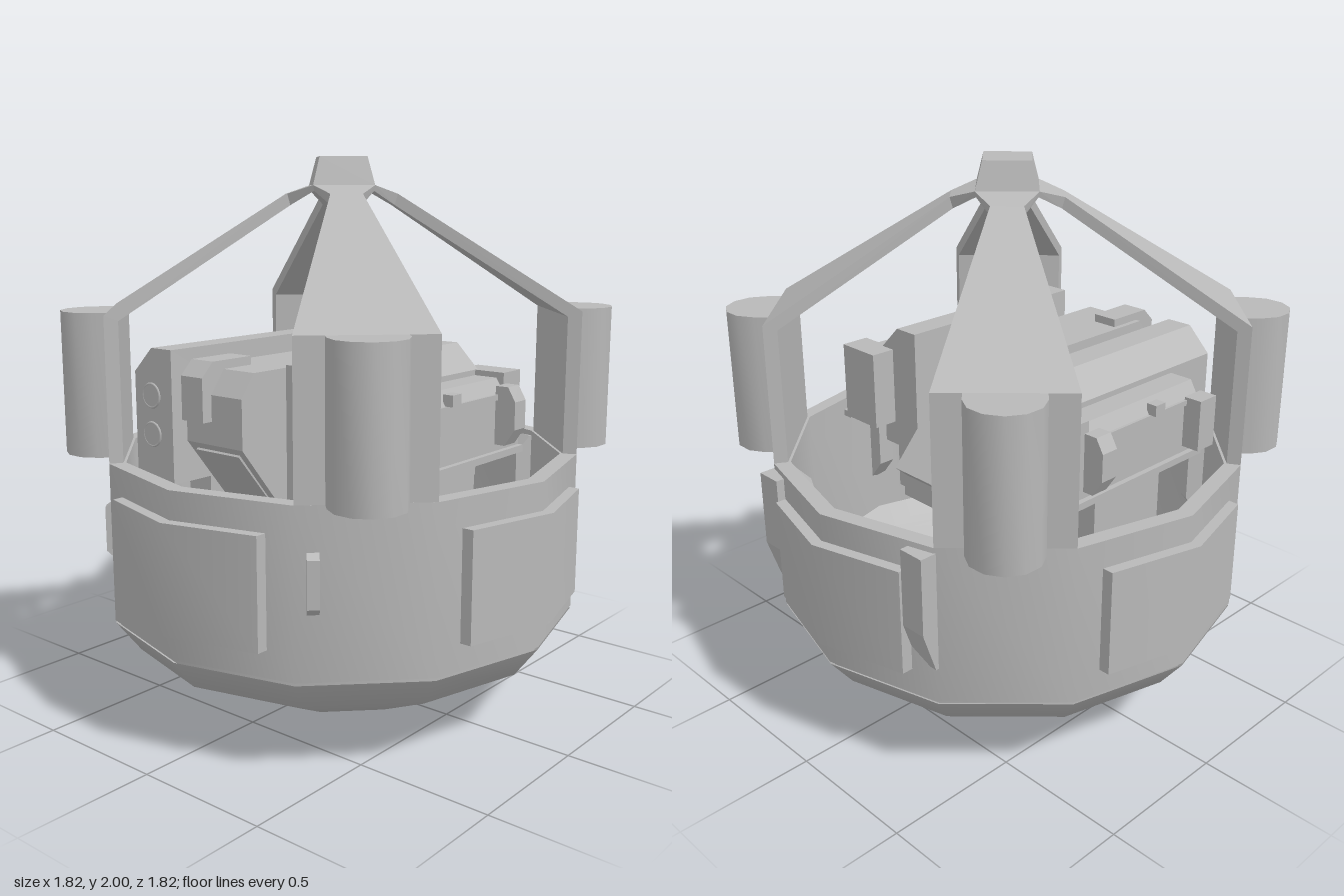
import * as THREE from 'three';
import { toCreasedNormals } from 'three/addons/utils/BufferGeometryUtils.js';
import { ConvexGeometry } from 'three/addons/geometries/ConvexGeometry.js';

const grey = new THREE.MeshStandardMaterial({ color: 0xb8b8b8, side: THREE.DoubleSide });
grey.name = 'hull grey';

const V = (x, y, z) => new THREE.Vector3(x, y, z);

function add(parent, name, geometry, x = 0, y = 0, z = 0) {
  const mesh = new THREE.Mesh(geometry, grey);
  mesh.name = name;
  mesh.position.set(x, y, z);
  parent.add(mesh);
  return mesh;
}

// Box given by its minimum and maximum corners
function box(parent, name, x0, x1, y0, y1, z0, z1) {
  return add(parent, name, new THREE.BoxGeometry(x1 - x0, y1 - y0, z1 - z0),
    (x0 + x1) / 2, (y0 + y1) / 2, (z0 + z1) / 2);
}

// Upright prism over a floor outline of [x, z] points
function prism(points, y0, y1) {
  const shape = new THREE.Shape(points.map(([x, z]) => new THREE.Vector2(x, -z)));
  const g = new THREE.ExtrudeGeometry(shape, { depth: y1 - y0, bevelEnabled: false });
  return toCreasedNormals(g.rotateX(-Math.PI / 2).translate(0, y0, 0), 0.7);
}

// Sideways prism over a [z, y] profile, running from x0 to x1
function sidePrism(points, x0, x1) {
  const shape = new THREE.Shape(points.map(([z, y]) => new THREE.Vector2(-z, y)));
  const g = new THREE.ExtrudeGeometry(shape, { depth: x1 - x0, bevelEnabled: false });
  return g.rotateY(Math.PI / 2).translate(x0, 0, 0);
}

// Lengthwise prism over an [x, y] profile, running from z0 to z1
function longPrism(points, z0, z1) {
  const shape = new THREE.Shape(points.map(([x, y]) => new THREE.Vector2(x, y)));
  return new THREE.ExtrudeGeometry(shape, { depth: z1 - z0, bevelEnabled: false }).translate(0, 0, z0);
}

function lathe(points) {
  return new THREE.LatheGeometry(points.map(([r, y]) => new THREE.Vector2(r, y)), 12);
}

// One corner: post, half-round column and roof arm
function corner() {
  const g = new THREE.Group();
  g.name = 'cornerFrame';
  add(g, 'post', prism([[0.435, 0.753], [0.753, 0.435], [0.71, 0.41], [0.41, 0.71]], 0.92, 1.46));
  const outline = [[-0.127, 0.8]];
  for (let i = 0; i <= 6; i++) {
    const a = Math.PI * (1 - i / 6);
    outline.push([0.127 * Math.cos(a), 0.89 + 0.127 * Math.sin(a)]);
  }
  outline.push([0.127, 0.8]);
  add(g, 'column', prism(outline, 0.94, 1.46)).rotation.y = Math.PI / 4;
  const bend = [V(0.1, 1.87, 0.18), V(0.18, 1.87, 0.1), V(0.095, 1.83, 0.17), V(0.17, 1.83, 0.095)];
  add(g, 'roofArm', new ConvexGeometry([V(0.435, 1.46, 0.753), V(0.753, 1.46, 0.435),
    V(0.41, 1.44, 0.71), V(0.71, 1.44, 0.41), ...bend]));
  add(g, 'armHead', new ConvexGeometry([...bend, V(0, 1.9, 0.155), V(0.155, 1.9, 0),
    V(0, 1.88, 0.15), V(0.15, 1.88, 0)]));
  return g;
}

// Side module built on +x
function sideModule() {
  const g = new THREE.Group();
  g.name = 'sideModule';
  add(g, 'launcher', longPrism([[0.27, 0.86], [0.46, 0.86], [0.46, 1.25], [0.37, 1.34], [0.27, 1.34]], -0.215, 0.6));
  for (const y of [1.03, 1.17]) {
    add(g, 'tubeRim', new THREE.TorusGeometry(0.042, 0.005, 6, 20), 0.376, y, 0.6);
    add(g, 'tubeCover', new THREE.CylinderGeometry(0.04, 0.04, 0.008, 20).rotateX(Math.PI / 2), 0.376, y, 0.6);
  }
  // stepped outer casing
  add(g, 'casing', longPrism([[0.44, 0.95], [0.58, 0.95], [0.58, 1.18], [0.55, 1.23], [0.44, 1.23]], -0.22, 0.38));
  box(g, 'rearPod', 0.4, 0.58, 0.955, 1.25, -0.31, -0.2);
  box(g, 'lowerRail', 0.56, 0.6, 0.95, 0.975, -0.31, 0.4);
  box(g, 'upperRail', 0.56, 0.59, 1.16, 1.18, -0.22, 0.36);
  add(g, 'rearLug', longPrism([[0.58, 1.0], [0.62, 1.0], [0.66, 1.06], [0.66, 1.16], [0.63, 1.21], [0.58, 1.21]], -0.22, -0.15));
  add(g, 'frontLug', longPrism([[0.58, 1.0], [0.65, 1.0], [0.65, 1.19], [0.58, 1.19]], 0.31, 0.4));
  box(g, 'railClip', 0.57, 0.61, 1.18, 1.22, 0.11, 0.16);
  box(g, 'support', 0.45, 0.53, 0.6, 0.96, -0.1, 0.25);
  // pivot joining the module to the centre unit
  add(g, 'pivotDisc', new THREE.CylinderGeometry(0.15, 0.15, 0.08, 24).rotateZ(Math.PI / 2), 0.225, 1.09, 0.1);
  box(g, 'pivotNeck', 0.12, 0.185, 0.98, 1.22, 0.0, 0.36);
  return g;
}

function centreUnit() {
  const g = new THREE.Group();
  g.name = 'centreUnit';
  add(g, 'unitBody', sidePrism([[0.66, 1.05], [0.66, 1.22], [0.6, 1.3], [0, 1.3], [-0.12, 1.24],
    [-0.4, 0.93], [-0.4, 0.8], [0.46, 0.8]], -0.13, 0.13));
  // framed window on the sloping rear
  const tilt = new THREE.Group();
  tilt.name = 'rearWindow';
  tilt.position.set(0, 1.06, -0.3);
  tilt.rotation.x = -Math.atan2(0.31, 0.28);
  for (const s of [-1, 1]) {
    box(tilt, 'frameSide', s * 0.08 - 0.012, s * 0.08 + 0.012, -0.02, 0.05, -0.2, 0.18);
    box(tilt, 'frameEnd', -0.08, 0.08, -0.02, 0.05, s * 0.18 - 0.02, s * 0.18 + 0.01);
  }
  box(tilt, 'windowPlate', -0.08, 0.08, -0.02, 0.025, -0.18, 0.17);
  g.add(tilt);
  // sight on the front
  add(g, 'sight', sidePrism([[0.7, 1.13], [0.7, 1.28], [0.65, 1.33], [0.47, 1.33], [0.47, 1.25], [0.62, 1.13]], -0.11, -0.01));
  // sloping chin plate
  add(g, 'chinPlate', sidePrism([[0.64, 1.03], [0.648, 1.022], [0.5, 0.842], [0.49, 0.85]], -0.1, 0.1));
  return g;
}

export function createModel() {
  const model = new THREE.Group();
  model.name = 'pod';

  // lower bowl and wall
  add(model, 'bowl', lathe([[0, 0.003], [0.44, 0.065], [0.78, 0.235], [0.868, 0.35]]));
  add(model, 'wall', toCreasedNormals(
    lathe([[0.81, 0.36], [0.87, 0.36], [0.87, 0.94], [0.81, 0.94], [0.81, 0.36]]), 0.7));
  add(model, 'seam', lathe([[0.85, 0.34], [0.85, 0.37]]));

  // four corners and four wall panels
  for (let i = 0; i < 4; i++) {
    const quarter = new THREE.Group();
    quarter.name = 'quarter';
    quarter.rotation.y = i * Math.PI / 2;
    quarter.add(corner());
    add(quarter, 'wallPanel', prism([[-0.34, 0.819], [0, 0.91], [0.34, 0.819], [0.34, 0.76], [0, 0.85], [-0.34, 0.76]], 0.455, 0.84));
    model.add(quarter);
  }
  add(model, 'roofCap', new ConvexGeometry([[0.12, 2], [0.155, 1.9]].flatMap(([r, y]) =>
    [V(r, y, 0), V(-r, y, 0), V(0, y, r), V(0, y, -r)])));

  // brackets inside the rim
  for (const deg of [90, 270, 28, -28, 152, 208]) {
    const b = add(model, 'rimBracket', sidePrism([[0.82, 0.92], [0.8, 0.92], [0.74, 0.86], [0.74, 0.6], [0.82, 0.5]], -0.035, 0.035));
    b.rotation.y = deg * Math.PI / 180;
  }

  for (const s of [-1, 1]) {
    // fins at the back and clips at the front
    add(model, 'rearFin', sidePrism([[-0.74, 0.92], [-0.81, 0.92], [-0.81, 0.64], [-0.76, 0.49], [-0.74, 0.49]],
      s * 0.39 - 0.05, s * 0.39 + 0.05));
    const clip = add(model, 'frontClip', sidePrism([[-0.02, 0.57], [0.02, 0.61], [0.02, 0.77], [-0.02, 0.8]], -0.02, 0.02), s * 0.48, 0, 0.715);
    clip.rotation.y = s * Math.PI / 4;
    // mirrored equipment
    const side = sideModule();
    side.scale.x = s;
    model.add(side);
  }
  model.add(centreUnit());
  return model;
}
